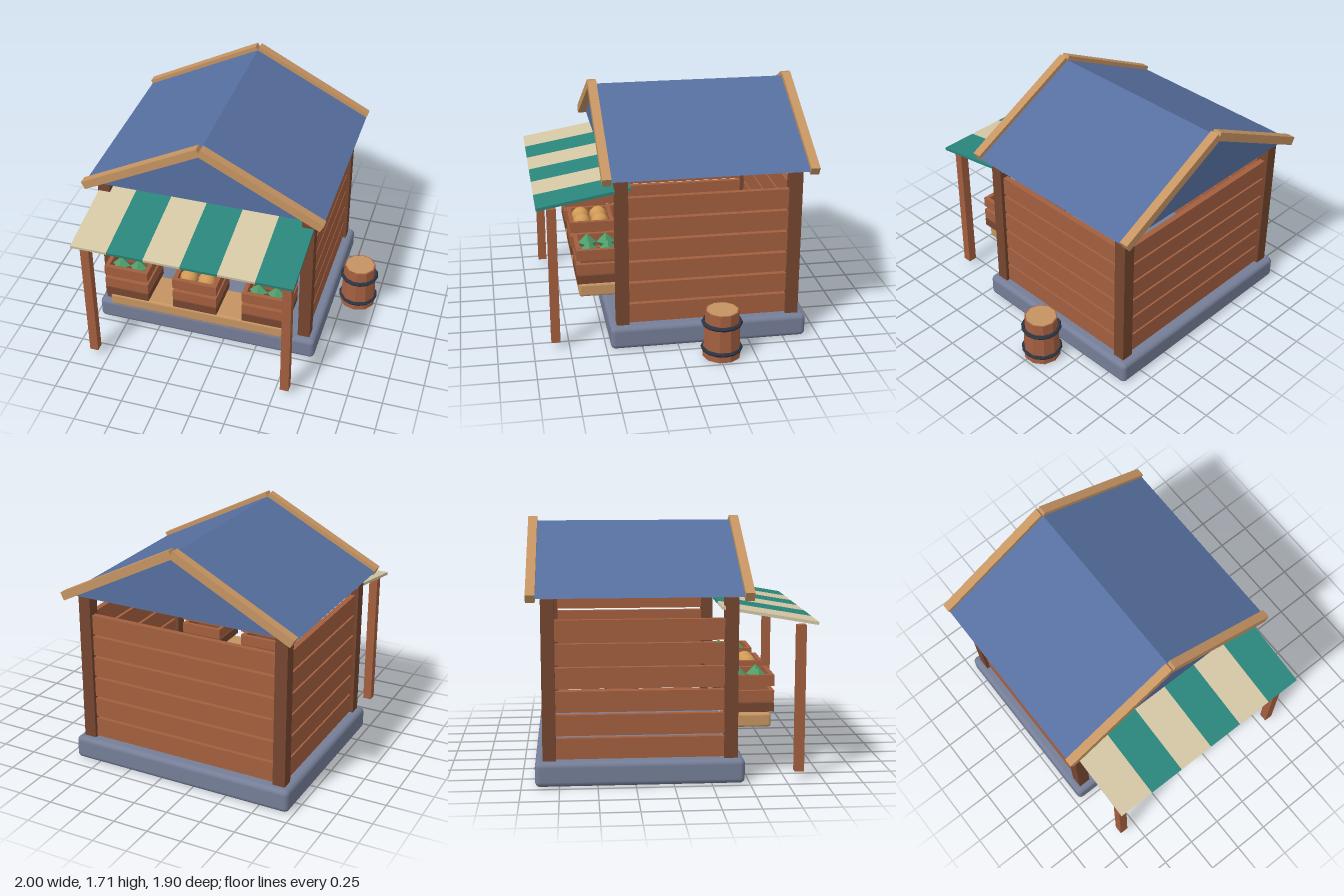
import * as THREE from 'three';
import { RoundedBoxGeometry } from 'three/addons/geometries/RoundedBoxGeometry.js';

const mat = (color, flatShading = true) => new THREE.MeshStandardMaterial({ color, flatShading });
const plank = mat(0xa35f3f), darkWood = mat(0x75462f), tan = mat(0xc59462), roofBlue = mat(0x566f9f);
const stone = mat(0x757e97, false), iron = mat(0x2c3342), cream = mat(0xd4c7a5), teal = mat(0x2a857b);
const green = mat(0x4f9f6c), orange = mat(0xd09a55, false);

const CX = -0.14; // middle of the building in x

function add(parent, name, geometry, material, x = 0, y = 0, z = 0) {
  const m = new THREE.Mesh(geometry, material);
  m.name = name;
  m.position.set(x, y, z);
  parent.add(m);
  return m;
}
const box = (parent, name, material, w, h, d, x, y, z) =>
  add(parent, name, new THREE.BoxGeometry(w, h, d), material, x, y, z);

function group(parent, name, x = 0, y = 0, z = 0) {
  const g = new THREE.Group();
  g.name = name;
  g.position.set(x, y, z);
  parent.add(g);
  return g;
}

function buildHut(root) {
  const hut = group(root, 'hut', CX, 0, 0);
  add(hut, 'foundation', new RoundedBoxGeometry(1.65, 0.165, 1.38, 3, 0.035), stone, 0, 0.0825, -0.22);

  // corner posts
  for (const s of [-1, 1])
    for (const z of [0.38, -0.815]) box(hut, 'cornerPost', darkWood, 0.088, 1.075, 0.088, s * 0.735, 0.6925, z);

  // plank walls on three sides, the front stays open
  for (let i = 0; i < 6; i++) {
    const y = 0.24 + i * 0.1565;
    for (const s of [-1, 1]) box(hut, 'sideWallPlank', plank, 0.04, 0.139, 1.11, s * 0.735, y, -0.2175);
    box(hut, 'backWallPlank', plank, 1.39, 0.139, 0.04, 0, y, -0.815);
  }

  // counter
  add(hut, 'counter', new RoundedBoxGeometry(1.28, 0.092, 0.29, 2, 0.015), tan, 0, 0.381, 0.52);
}

function buildRoof(root) {
  const roof = group(root, 'roof', CX, 0, 0);
  const gable = new THREE.Shape([
    new THREE.Vector2(-0.85, 1.245), new THREE.Vector2(0.85, 1.245), new THREE.Vector2(0, 1.68)]);
  add(roof, 'roofPrism', new THREE.ExtrudeGeometry(gable, { depth: 1.36, bevelEnabled: false }),
    roofBlue, 0, 0, -0.9);

  // sloping trim boards on both gables
  for (const z of [0.485, -0.92])
    for (const s of [-1, 1])
      box(roof, 'gableTrim', tan, 0.953, 0.06, 0.062, s * 0.424, 1.463, z).rotation.z = -s * 0.478;
}

function buildAwning(root) {
  const awning = group(root, 'awning', CX, 0, 0);
  const cloth = group(awning, 'awningCloth', 0, 1.11, 0.632);
  cloth.rotation.x = 0.172;
  for (let i = 0; i < 6; i++)
    box(cloth, 'awningStripe', i % 2 ? teal : cream, 0.258, 0.02, 0.645, (i - 2.5) * 0.258, 0, 0);
  for (const s of [-1, 1]) box(awning, 'awningPost', plank, 0.062, 0.99, 0.062, s * 0.713, 0.545, 0.845);
}

function buildCrate(root, x, isRound) {
  const crate = group(root, 'crate', x, 0, 0.52);
  const w = 0.32, t = 0.03;
  box(crate, 'crateBottom', darkWood, w, 0.06, w, 0, 0.475, 0);
  for (const y of [0.552, 0.657])
    for (const s of [-1, 1]) {
      box(crate, 'crateSlat', plank, w, 0.075, t, 0, y, s * (w - t) / 2);
      box(crate, 'crateSlat', plank, t, 0.075, w - 2 * t, s * (w - t) / 2, y, 0);
    }
  // four pieces of produce
  const shape = isRound ? new THREE.SphereGeometry(0.064, 14, 10) : new THREE.OctahedronGeometry(0.066);
  for (const i of [-1, 1])
    for (const j of [-1, 1])
      add(crate, isRound ? 'fruit' : 'vegetable', shape, isRound ? orange : green, i * 0.065, 0.66, j * 0.065);
}

function buildBarrel(root) {
  const barrel = group(root, 'barrel', 0.853, 0, -0.27);
  const profile = [[0, 0], [0.133, 0], [0.117, 0.34], [0.1, 0.34], [0.1, 0.325]]
    .map(([r, y]) => new THREE.Vector2(r, y));
  add(barrel, 'barrelBody', new THREE.LatheGeometry(profile, 10), plank);
  add(barrel, 'barrelLid', new THREE.CylinderGeometry(0.108, 0.108, 0.03, 10), tan, 0, 0.327, 0);
  for (const [y, r] of [[0.06, 0.13], [0.25, 0.128]])
    add(barrel, 'barrelHoop', new THREE.TorusGeometry(r, 0.015, 6, 14), iron, 0, y, 0).rotation.x = Math.PI / 2;
}

export function createModel() {
  const root = new THREE.Group();
  root.name = 'marketStall';
  buildHut(root);
  buildRoof(root);
  buildAwning(root);
  [-1, 0, 1].forEach((i) => buildCrate(root, CX + i * 0.505, i === 0));
  buildBarrel(root);
  return root;
}
